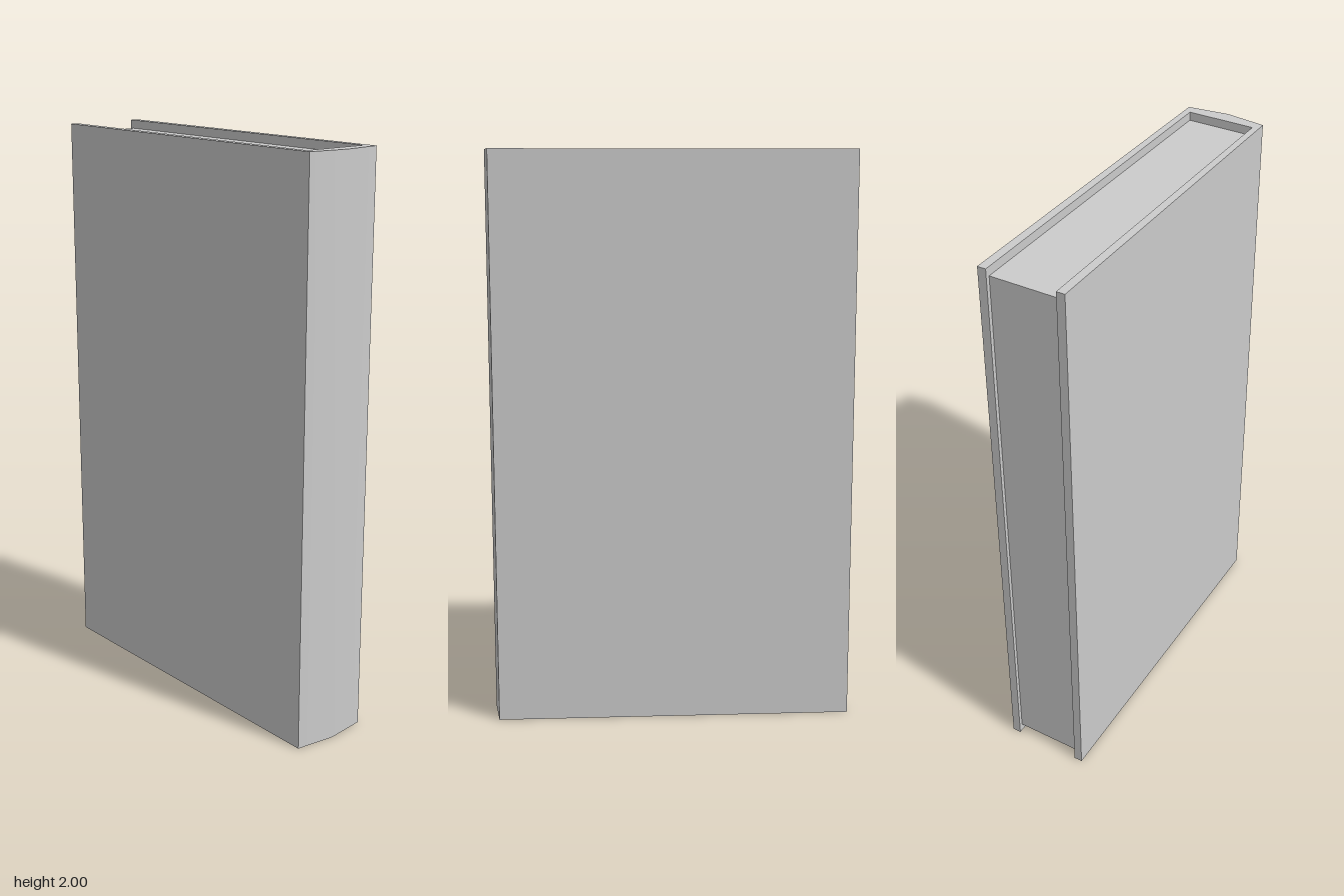
import * as THREE from 'three';
import { toCreasedNormals } from 'three/addons/utils/BufferGeometryUtils.js';

export function createModel() {
  const group = new THREE.Group();
  group.name = 'book';
  const material = new THREE.MeshStandardMaterial({ color: 0xcccccc });

  const height = 2;
  const back = -0.635;      // fore edge of the boards
  const inner = 0.12;       // half width between the boards
  const spineInner = 0.582; // inside face of the spine

  // Cover: U-shaped plan (x, z), tapering boards joined by a bowed spine
  const plan = new THREE.Shape([
    [-0.15, back], [-inner, back], [-inner, spineInner],
    [inner, spineInner], [inner, back], [0.15, back],
    [0.143, 0.617], [0, 0.635], [-0.143, 0.617],
  ].map(([x, z]) => new THREE.Vector2(x, z)));
  const coverGeometry = new THREE.ExtrudeGeometry(plan, { depth: height, bevelEnabled: false });
  coverGeometry.rotateX(Math.PI / 2).translate(0, height, 0);
  const cover = new THREE.Mesh(toCreasedNormals(coverGeometry, 0.5), material);
  cover.name = 'cover';
  group.add(cover);

  // Page block, set back from the top, bottom and fore edge
  const inset = 0.03;
  const pagesBack = -0.621;
  const pages = new THREE.Mesh(
    new THREE.BoxGeometry(inner * 2, height - inset * 2, spineInner - pagesBack), material);
  pages.position.set(0, height / 2, (spineInner + pagesBack) / 2);
  pages.name = 'pages';
  group.add(pages);

  return group;
}
